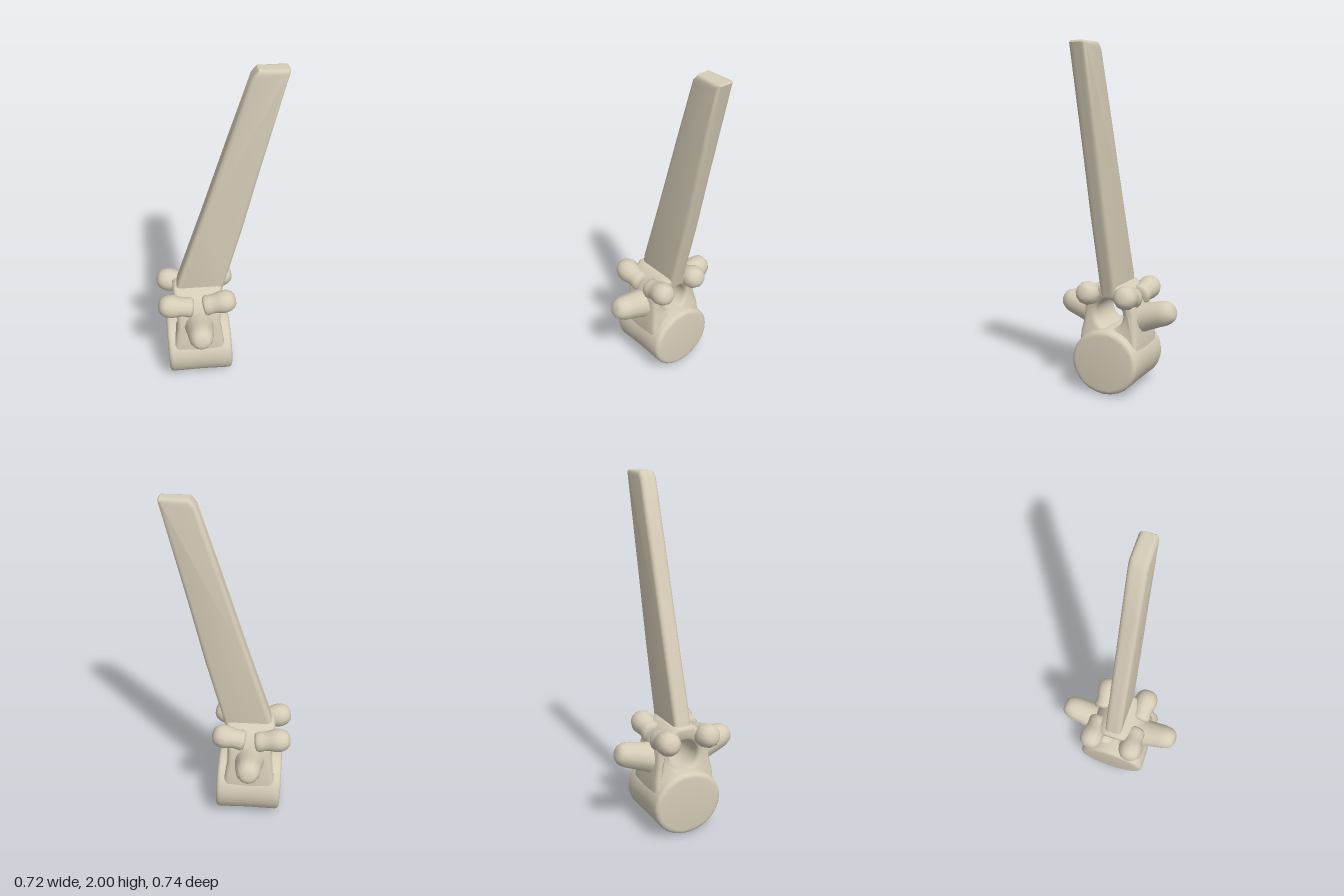
import * as THREE from 'three';
import { toCreasedNormals } from 'three/addons/utils/BufferGeometryUtils.js';

const bone = new THREE.MeshStandardMaterial({ color: 0xd6cdb8 });
bone.name = 'bone';

const HOLE_Y = 0.467, HOLE_R = 0.088;

function part(name, geometry, crease = 0.75) {
  const mesh = new THREE.Mesh(toCreasedNormals(geometry, crease), bone);
  mesh.name = name;
  return mesh;
}

// Extrude a shape with rounded edges that stay inside its outline
function slab(shape, depth, bevel) {
  return new THREE.ExtrudeGeometry(shape, {
    depth: depth - 2 * bevel, steps: 4, curveSegments: 14,
    bevelThickness: bevel, bevelSize: bevel, bevelOffset: -bevel, bevelSegments: 3,
  }).translate(0, 0, bevel - depth / 2);
}

// Move every vertex by a rule
function warp(geometry, rule) {
  const p = geometry.attributes.position, v = new THREE.Vector3();
  for (let i = 0; i < p.count; i++) {
    rule(v.fromBufferAttribute(p, i));
    p.setXYZ(i, v.x, v.y, v.z);
  }
  return geometry;
}

// Rounded bony knob from a to b; profile holds [radius, fraction of length]
function knob(name, a, b, profile) {
  const from = new THREE.Vector3(...a), dir = new THREE.Vector3(...b).sub(from);
  const len = dir.length();
  const curve = new THREE.SplineCurve(profile.map(([r, t]) => new THREE.Vector2(r, t * len)));
  const pts = curve.getPoints(14).map((p) => new THREE.Vector2(Math.max(p.x, 0), p.y));
  const mesh = part(name, new THREE.LatheGeometry(pts, 12), 1.0);
  mesh.quaternion.setFromUnitVectors(new THREE.Vector3(0, 1, 0), dir.normalize());
  mesh.position.copy(from);
  return mesh;
}

export function createModel() {
  const model = new THREE.Group();
  model.name = 'vertebra';

  // Drum-shaped body lying along x, slightly sheared
  const disc = new THREE.Shape().absellipse(0, 0.195, 0.208, 0.19, 0, Math.PI * 2);
  const body = slab(disc, 0.385, 0.025).rotateY(Math.PI / 2).translate(-0.118, 0, 0);
  model.add(part('body', warp(body, (v) => {
    const out = Math.abs(v.x + 0.118) / 0.19;
    v.x += (0.2 - v.y) * 0.03;
    v.z *= 0.97 + 0.03 * out;
  })));

  // Arch around the canal, widening towards its top
  const half = [[0.185, 0.27], [0.182, 0.35], [0.165, 0.43], [0.16, 0.5], [0.135, 0.56], [0.1, 0.61], [0.05, 0.645]];
  const outline = [...half, ...half.map(([z, y]) => [-z, y]).reverse()];
  const arch = new THREE.Shape(outline.map(([z, y]) => new THREE.Vector2(z, y)));
  arch.holes.push(new THREE.Path().absarc(0, HOLE_Y, HOLE_R, 0, Math.PI * 2, true));
  const archGeo = slab(arch, 0.26, 0.025).rotateY(Math.PI / 2);
  model.add(part('arch', warp(archGeo, (v) => {
    const s = (v.y - 0.48) / 0.14;
    v.x = v.x * (0.98 + 0.13 * Math.min(s * s, 1.4)) - 0.123;
  })));

  // Long flat spine leaning towards +x
  const blade = new THREE.Shape([
    [-0.255, 0.58], [0.02, 0.58], [0.045, 0.68], [0.14, 1.05], [0.225, 1.42],
    [0.362, 1.99], [0.355, 2.0], [0.2, 2.0], [0.17, 1.965], [0.06, 1.62],
    [-0.09, 1.14], [-0.235, 0.69],
  ].map(([x, y]) => new THREE.Vector2(x, y)));
  model.add(part('spine', slab(blade, 0.1, 0.022).translate(0, 0, -0.004)));

  // Paired side processes and upper joint knobs
  for (const side of [1, -1]) {
    const label = side > 0 ? 'front' : 'back';
    model.add(knob(label + 'SideProcess', [-0.125, 0.43, side * 0.11], [-0.122, 0.505, side * 0.362],
      [[0, 0], [0.09, 0.01], [0.084, 0.25], [0.077, 0.55], [0.07, 0.8], [0.045, 0.97], [0, 1]]));
    const tip = [[0, 0], [0.06, 0.02], [0.058, 0.3], [0.07, 0.62], [0.06, 0.84], [0.035, 0.97], [0, 1]];
    model.add(knob(label + 'RightJointKnob', [-0.16, 0.555, side * 0.115], [-0.358, 0.595, side * 0.128], tip));
    model.add(knob(label + 'LeftJointKnob', [-0.09, 0.56, side * 0.115], [0.096, 0.608, side * 0.125], tip));
  }
  return model;
}
